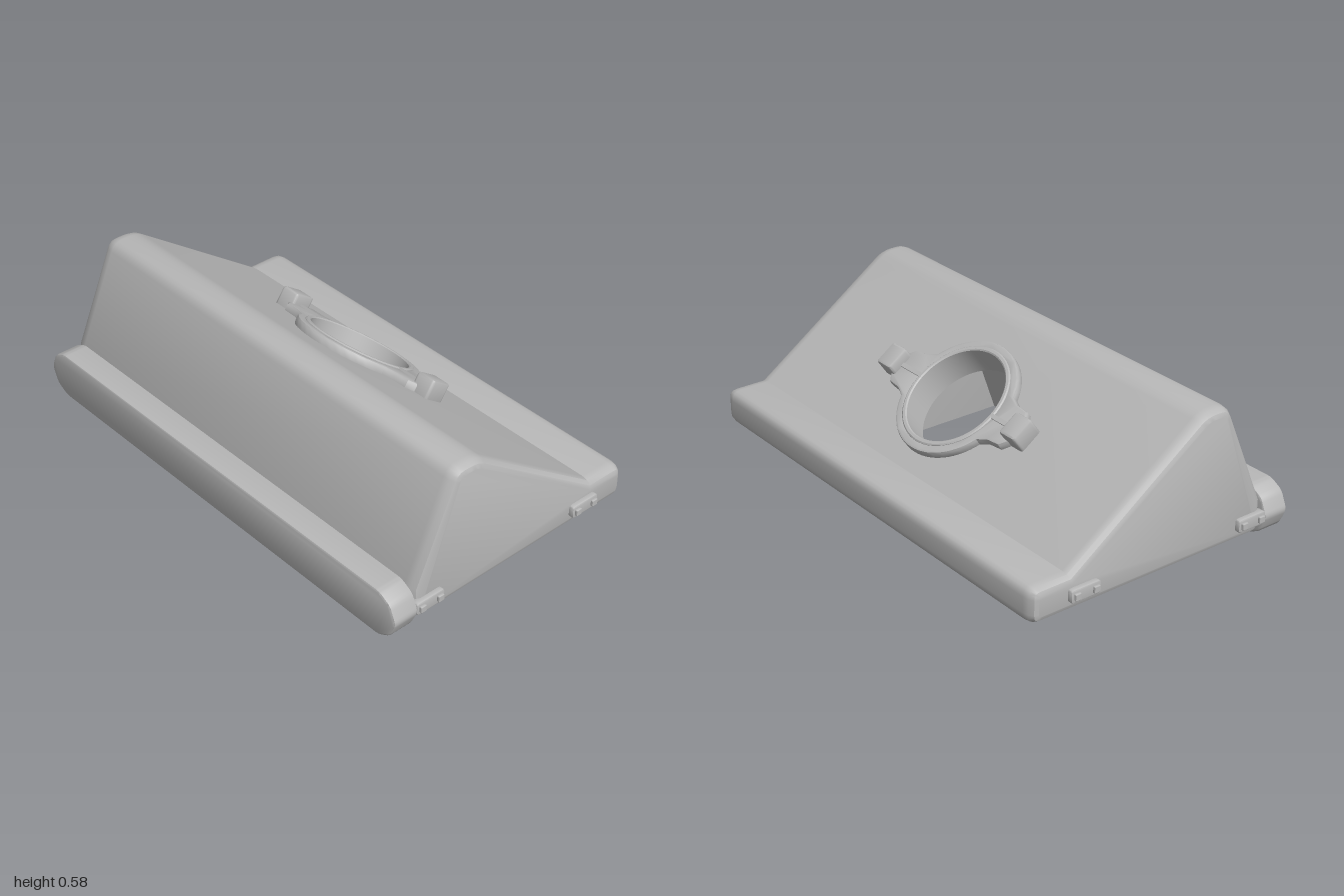
import * as THREE from 'three';
import { mergeGeometries, toCreasedNormals } from 'three/addons/utils/BufferGeometryUtils.js';

const V = (x, y) => new THREE.Vector2(x, y);
const grey = new THREE.MeshStandardMaterial({ color: 0xb8b8b8, side: THREE.DoubleSide });
grey.name = 'plainGrey';

// Slope frame: local y runs up the slope, local z points out of it
const SLOPE_LOW = new THREE.Vector3(0, 0.17, -0.41);
const SLOPE_TOP = new THREE.Vector3(0, 0.585, 0.18);
const up = SLOPE_TOP.clone().sub(SLOPE_LOW).normalize();
const out = new THREE.Vector3(0, up.z, -up.y);
const across = new THREE.Vector3().crossVectors(up, out);
const centre = SLOPE_LOW.clone().lerp(SLOPE_TOP, 0.27 / 0.59);
const slopeMatrix = new THREE.Matrix4().makeBasis(across, up, out).setPosition(centre);

function mesh(name, geometry, crease = 0.6) {
  const m = new THREE.Mesh(toCreasedNormals(geometry, crease), grey);
  m.name = name;
  return m;
}

// Polygon with rounded corners; each entry is [x, y, tangent length]
function rounded(points) {
  const n = points.length, res = [];
  points.forEach(([x, y, t], i) => {
    const p = V(x, y);
    if (!t) return res.push(p);
    const a = points[(i + n - 1) % n], b = points[(i + 1) % n];
    const from = p.clone().add(V(a[0] - x, a[1] - y).setLength(t));
    const to = p.clone().add(V(b[0] - x, b[1] - y).setLength(t));
    res.push(...new THREE.QuadraticBezierCurve(from, p, to).getPoints(4));
  });
  return new THREE.Shape(res);
}

function plate(shape, height, bevel, segments = 2) {
  return new THREE.ExtrudeGeometry(shape, {
    depth: height - bevel, bevelThickness: bevel, bevelSize: bevel, bevelOffset: -bevel,
    bevelSegments: segments, curveSegments: 32,
  });
}

function rect(x0, y0, x1, y1) {
  return new THREE.Shape([V(x0, y0), V(x1, y0), V(x1, y1), V(x0, y1)]);
}

function bare(geometry) {
  const g = geometry.index ? geometry.toNonIndexed() : geometry;
  g.deleteAttribute('uv');
  g.clearGroups();
  return g;
}

function roundHole(shape, r) {
  shape.holes.push(new THREE.Path().absarc(0, 0, r, 0, Math.PI * 2, true));
  return shape;
}

// Wedge housing: bevelled prism whose slope and floor are replaced by pierced panels
function housing() {
  const t = 0.04, half = 0.92;
  const profile = rounded([
    [-0.47, 0.03, t], [0.575, 0.03, t], [0.575, 0.17, t], [0.41, 0.17, 0],
    [-0.18, 0.585, t], [-0.29, 0.585, t], [-0.47, 0.17, 0],
  ]);
  const prism = bare(new THREE.ExtrudeGeometry(profile, {
    depth: half * 2, bevelThickness: 0.05, bevelSize: 0.03, bevelOffset: -0.03, bevelSegments: 3,
  }));
  prism.translate(0, 0, -half).rotateY(Math.PI / 2);
  const pos = prism.attributes.position, kept = [];
  const tri = new THREE.Triangle(), n = new THREE.Vector3();
  for (let i = 0; i < pos.count; i += 3) {
    tri.setFromAttributeAndIndices(pos, i, i + 1, i + 2);
    tri.getNormal(n);
    const xs = [tri.a.x, tri.b.x, tri.c.x];
    const long = Math.max(...xs) - Math.min(...xs) > 1.5;
    if (long && (n.dot(out) > 0.9995 || n.y < -0.9995)) continue;
    for (const p of [tri.a, tri.b, tri.c]) kept.push(p.x, p.y, p.z);
  }
  const shell = new THREE.BufferGeometry();
  shell.setAttribute('position', new THREE.Float32BufferAttribute(kept, 3));
  shell.computeVertexNormals();

  const slope = roundHole(rect(-half, -centre.distanceTo(SLOPE_LOW),
    half, centre.distanceTo(SLOPE_TOP) - t), 0.215);
  const floor = rect(-half, -0.575 + t, half, 0.47 - t);
  floor.holes.push(new THREE.Path([V(-0.42, -0.345), V(-0.42, 0.345), V(0.42, 0.345), V(0.42, -0.345)]));
  return mergeGeometries([
    shell,
    bare(new THREE.ShapeGeometry(slope, 32)).applyMatrix4(slopeMatrix),
    bare(new THREE.ShapeGeometry(floor)).rotateX(Math.PI / 2).translate(0, 0.03, 0),
  ]);
}

// Hollow under the housing: four walls rising to a sloped ceiling
function hollow() {
  const depth = -0.06;
  const ceilingPoint = (x, y) => new THREE.Vector3(x, y, depth).applyMatrix4(slopeMatrix);
  const low = [[0.42, 0.345], [-0.42, 0.345], [-0.42, -0.345], [0.42, -0.345]]
    .map(([x, z]) => new THREE.Vector3(x, 0.03, z));
  const outline = [[-0.35, 0.306], [0.35, 0.306], [0.42, -0.293], [-0.42, -0.293]];
  const high = outline.map(([x, y]) => ceilingPoint(x, y));
  const pts = [];
  for (let i = 0; i < 4; i++) {
    const j = (i + 1) % 4;
    pts.push(low[i], low[j], high[j], low[i], high[j], high[i]);
  }
  const walls = new THREE.BufferGeometry().setFromPoints(pts);
  walls.computeVertexNormals();
  const shape = roundHole(new THREE.Shape(outline.map(([x, y]) => V(x, y))), 0.215);
  const ceiling = bare(new THREE.ShapeGeometry(shape, 32)).translate(0, 0, depth);
  const idx = ceiling.attributes.position;
  // Turn the ceiling to face down into the hollow
  for (let i = 0; i < idx.count; i += 3) {
    const b = new THREE.Vector3().fromBufferAttribute(idx, i + 1);
    const c = new THREE.Vector3().fromBufferAttribute(idx, i + 2);
    idx.setXYZ(i + 1, c.x, c.y, c.z);
    idx.setXYZ(i + 2, b.x, b.y, b.z);
  }
  ceiling.computeVertexNormals();
  return mergeGeometries([walls, ceiling.applyMatrix4(slopeMatrix)]);
}

// Round clamp collar with two ears, set on the slope
function collar() {
  const group = new THREE.Group();
  group.name = 'clampCollar';
  group.applyMatrix4(slopeMatrix);

  const R = 0.255, a = 0.42, quarter = [];
  quarter.push(V(0.36, 0.05), V(0.335, 0.08), V(0.275, 0.085));
  for (let i = 0; i <= 14; i++) {
    const ang = a + (Math.PI / 2 - a) * i / 14;
    quarter.push(V(R * Math.cos(ang), R * Math.sin(ang)));
  }
  const topHalf = [...quarter, ...quarter.slice(0, -1).reverse().map(p => V(-p.x, p.y))];
  const outline = [...topHalf, ...topHalf.slice().reverse().map(p => V(p.x, -p.y))];
  const flange = roundHole(new THREE.Shape(outline), 0.215);
  group.add(mesh('collarFlange', plate(flange, 0.032, 0.008)));

  const tube = new THREE.LatheGeometry([
    V(0.205, -0.09), V(0.225, -0.09), V(0.225, 0.034), V(0.22, 0.038), V(0.21, 0.038), V(0.205, 0.034), V(0.205, -0.09),
  ], 64).rotateX(Math.PI / 2);
  group.add(mesh('collarTube', tube));

  for (const s of [-1, 1]) {
    const seam = new THREE.BoxGeometry(0.12, 0.018, 0.04).translate(s * 0.28, 0, 0.018);
    group.add(mesh('collarSeam', seam));
    const block = rounded([[-0.043, -0.05, 0.012], [0.043, -0.05, 0.012], [0.043, 0.05, 0.012], [-0.043, 0.05, 0.012]]);
    group.add(mesh('clampBlock', plate(block, 0.075, 0.01).translate(s * 0.378, 0, 0)));
  }
  return group;
}

// Side clip with two square studs
function clip(side, z) {
  const group = new THREE.Group();
  group.name = 'sideClip';
  const pad = (w, h, r) => rounded([[-w, -h, r], [w, -h, r], [w, h, r], [-w, h, r]]);
  group.add(mesh('clipPlate', plate(pad(0.065, 0.026, 0.015), 0.03, 0.006)));
  for (const s of [-1, 1]) {
    group.add(mesh('clipStud', plate(pad(0.013, 0.013, 0.004), 0.012, 0.003).translate(s * 0.041, 0, 0.028)));
  }
  group.rotation.y = side * Math.PI / 2;
  group.position.set(side * 0.96, 0.1, z);
  return group;
}

export function createModel() {
  const model = new THREE.Group();
  model.name = 'wedgeNozzle';
  model.add(mesh('housing', housing()));
  model.add(mesh('hollow', hollow()));
  model.add(collar());

  // Front bumper bar
  const end = [[0.91, 0], [0.965, 0.03], [0.995, 0.098], [0.965, 0.166], [0.91, 0.196]];
  const bar = rounded([
    ...end.map(([x, y]) => [x, y, 0.018]),
    ...end.slice().reverse().map(([x, y]) => [-x, y, 0.018]),
  ]);
  const bumper = new THREE.ExtrudeGeometry(bar, {
    depth: 0.087, bevelThickness: 0.01, bevelSize: 0.008, bevelOffset: -0.008, bevelSegments: 2,
  }).translate(0, 0, 0.48);
  model.add(mesh('frontBumper', bumper));

  for (const side of [-1, 1]) for (const z of [0.408, -0.358]) model.add(clip(side, z));
  return model;
}
